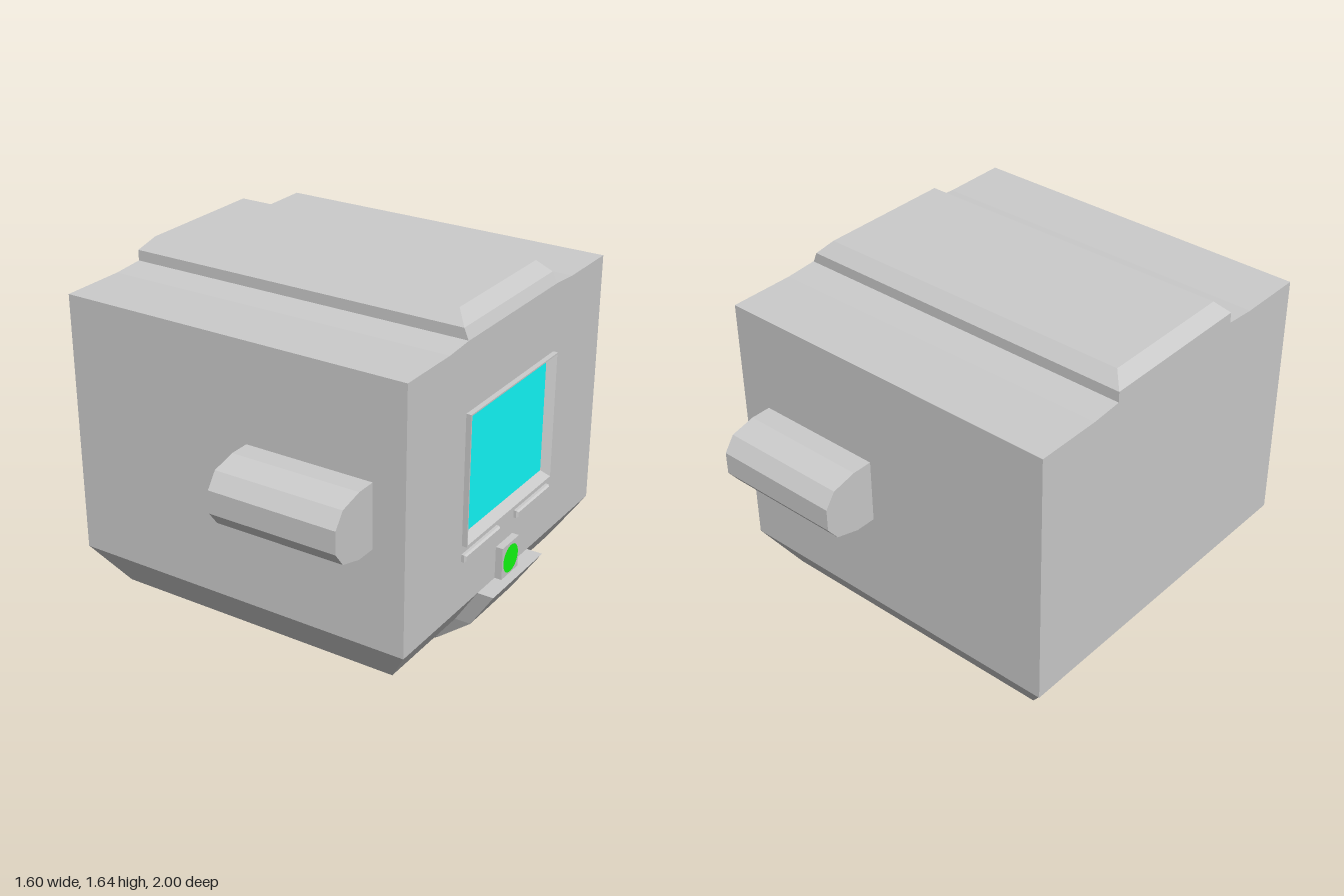
import * as THREE from 'three';

const grey = new THREE.MeshStandardMaterial({ color: 0xcccccc, flatShading: true });
const cyan = new THREE.MeshStandardMaterial({ color: 0x12ffff });
const green = new THREE.MeshStandardMaterial({ color: 0x12ff12 });

// Skin a stack of rings (each counter-clockwise seen from the last ring's side)
function loft(rings, capStart = true, capEnd = true) {
  const pos = [];
  const quad = (a, b, c, d) => pos.push(...a, ...b, ...c, ...a, ...c, ...d);
  for (let r = 0; r < rings.length - 1; r++) {
    for (let i = 0; i < 4; i++) {
      const j = (i + 1) % 4;
      quad(rings[r][i], rings[r][j], rings[r + 1][j], rings[r + 1][i]);
    }
  }
  if (capStart) quad(...[...rings[0]].reverse());
  if (capEnd) quad(...rings[rings.length - 1]);
  const g = new THREE.BufferGeometry();
  g.setAttribute('position', new THREE.Float32BufferAttribute(pos, 3));
  g.computeVertexNormals();
  return g;
}

// Horizontal rectangle at height y, and upright rectangle at depth x
const flatRing = (y, x0, x1, z) => [[x1, y, z], [x1, y, -z], [x0, y, -z], [x0, y, z]];
const faceRing = (x, z0, z1, y0, y1) => [[x, y0, z1], [x, y0, z0], [x, y1, z0], [x, y1, z1]];

// Extrude a (-z, y) outline along x
function extrudeX(points, x0, x1, hole) {
  const shape = new THREE.Shape(points.map(p => new THREE.Vector2(...p)));
  if (hole) shape.holes.push(new THREE.Path(hole.map(p => new THREE.Vector2(...p))));
  const g = new THREE.ExtrudeGeometry(shape, { depth: x1 - x0, bevelEnabled: false });
  return g.rotateY(Math.PI / 2).translate(x0, 0, 0);
}

export function createModel() {
  const group = new THREE.Group();
  const add = (name, geometry, material = grey) => {
    const mesh = new THREE.Mesh(geometry, material);
    mesh.name = name;
    group.add(mesh);
    return mesh;
  };

  // Main housing, with a recess for the screen in its front slab
  const section = [[-0.763, 0.418], [0.763, 0.418], [0.763, 1.53], [0.48, 1.53],
    [0.345, 1.54], [-0.345, 1.54], [-0.48, 1.53], [-0.763, 1.53]];
  const recess = [[-0.34, 0.705], [0.34, 0.705], [0.34, 1.248], [-0.34, 1.248]];
  add('housing', extrudeX(section, -0.8, 0.713));
  add('housingFront', extrudeX(section, 0.713, 0.726, recess));

  // Tapered underside
  add('underside', loft([
    flatRing(0, -0.4, 0.33, 0.2),
    flatRing(0.09, -0.5, 0.435, 0.46),
    flatRing(0.24, -0.68, 0.61, 0.65),
    flatRing(0.418, -0.797, 0.726, 0.763),
  ], true, false));

  // Raised ridge on top
  add('topRidge', loft([
    flatRing(1.535, -0.8, 0.726, 0.345),
    flatRing(1.585, -0.8, 0.705, 0.345),
    flatRing(1.637, -0.75, 0.655, 0.295),
  ]));

  // Faceted pods on both sides
  const pod = [[0.75, 0.84], [0.85, 0.84], [0.955, 0.87], [1, 0.93],
    [1, 1.025], [0.955, 1.088], [0.85, 1.113], [0.75, 1.113]];
  for (const [name, s] of [['podFront', -1], ['podBack', 1]]) {
    add(name, extrudeX(pod.map(([u, y]) => [s * u, y]), 0.033, 0.588));
  }

  // Screen and its inward-sloping frame
  add('screenFrame', loft([
    faceRing(0.713, -0.347, 0.347, 0.698, 1.253),
    faceRing(0.748, -0.347, 0.347, 0.698, 1.253),
    faceRing(0.748, -0.341, 0.341, 0.704, 1.247),
    faceRing(0.716, -0.308, 0.308, 0.738, 1.216),
  ], false, false));
  const screen = new THREE.PlaneGeometry(0.62, 0.482).rotateY(Math.PI / 2);
  add('screen', screen.translate(0.717, 0.977, 0), cyan);

  // Slim bars below the screen
  for (const [name, z] of [['barLeft', 0.21], ['barRight', -0.21]]) {
    add(name, loft([
      faceRing(0.72, z - 0.139, z + 0.139, 0.629, 0.661),
      faceRing(0.738, z - 0.139, z + 0.139, 0.629, 0.661),
      faceRing(0.746, z - 0.133, z + 0.133, 0.636, 0.655),
    ]));
  }

  // Indicator light on its mount
  const mount = new THREE.BoxGeometry(0.04, 0.145, 0.136);
  add('lightMount', mount.translate(0.737, 0.487, 0));
  const light = new THREE.CircleGeometry(0.061, 32).rotateY(Math.PI / 2);
  add('indicatorLight', light.translate(0.759, 0.487, 0), green);

  // Chin plate following the underside
  add('chinPlate', loft([
    flatRing(0, 0.325, 0.4, 0.058),
    flatRing(0.09, 0.43, 0.505, 0.125),
    flatRing(0.24, 0.6, 0.68, 0.172),
    flatRing(0.418, 0.715, 0.797, 0.207),
  ]));

  return group;
}
